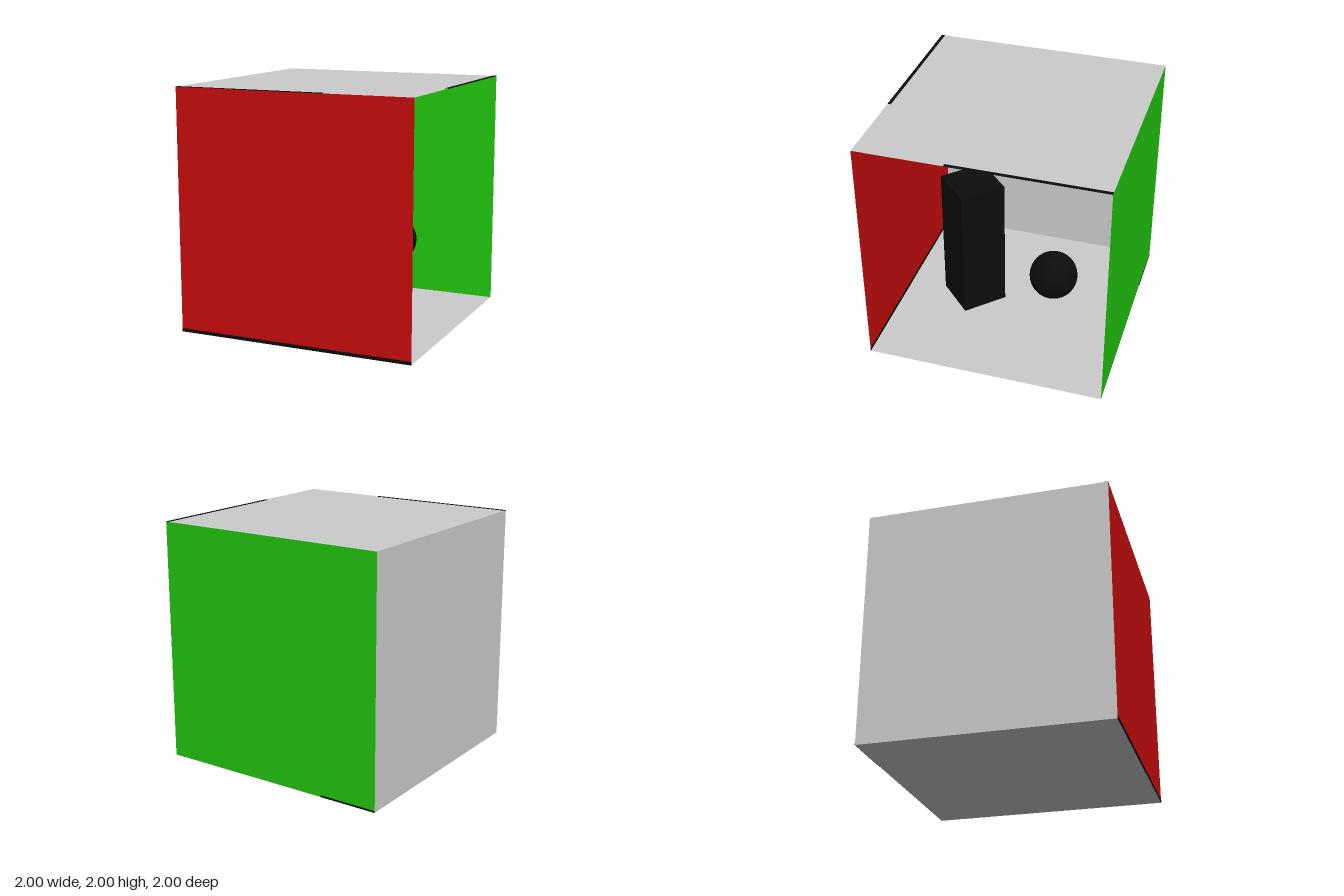
import * as THREE from 'three';

const paint = (name, color) => {
  const m = new THREE.MeshStandardMaterial({ color, side: THREE.DoubleSide });
  m.name = name;
  return m;
};

export function createModel() {
  const grey = paint('lightGrey', 0xcccccc);
  const red = paint('red', 0xcc0d0d);
  const green = paint('green', 0x22cc0f);
  const black = paint('black', 0x0d0d0d);

  const room = new THREE.Group();
  room.name = 'openRoom';

  const add = (name, geometry, material, x, y, z) => {
    const mesh = new THREE.Mesh(geometry, material);
    mesh.name = name;
    mesh.position.set(x, y, z);
    room.add(mesh);
    return mesh;
  };

  // Five paper-thin walls; the +x side is open
  const wall = (name, material, x, y, z, rx, ry) => {
    add(name, new THREE.PlaneGeometry(2, 2), material, x, y, z).rotation.set(rx, ry, 0);
  };
  wall('floor', grey, 0, 0, 0, -Math.PI / 2, 0);
  wall('ceiling', grey, 0, 2, 0, -Math.PI / 2, 0);
  wall('sideWall', grey, -1, 1, 0, 0, Math.PI / 2);
  wall('frontWall', red, 0, 1, 1, 0, 0);
  wall('backWall', green, 0, 1, -1, 0, Math.PI);

  // Dark edge stripes, visible on both faces of the wall they sit on
  const T = 0.004;
  const strip = (name, w, h, d, x, y, z) =>
    add(name, new THREE.BoxGeometry(w, h, d), black, x, y, z);
  strip('frontWallStripe', 2, 0.028, T, 0, 0.014, 1);
  strip('backWallStripe', 0.5, 0.014, T, -0.75, 0.007, -1);
  strip('ceilingFrontStripe', 1.27, T, 0.028, -0.365, 2, 0.986);
  strip('ceilingSideStripe', 0.028, T, 1.27, 0.986, 2, -0.365);

  // Tall block turned by 45 degrees, and a floating ball
  add('tallBlock', new THREE.BoxGeometry(0.4, 1.198, 0.4), black, 0, 0.601, 0.4)
    .rotation.y = Math.PI / 4;
  add('ball', new THREE.SphereGeometry(0.2, 48, 32), black, 0.29, 0.6, -0.4);

  return room;
}
